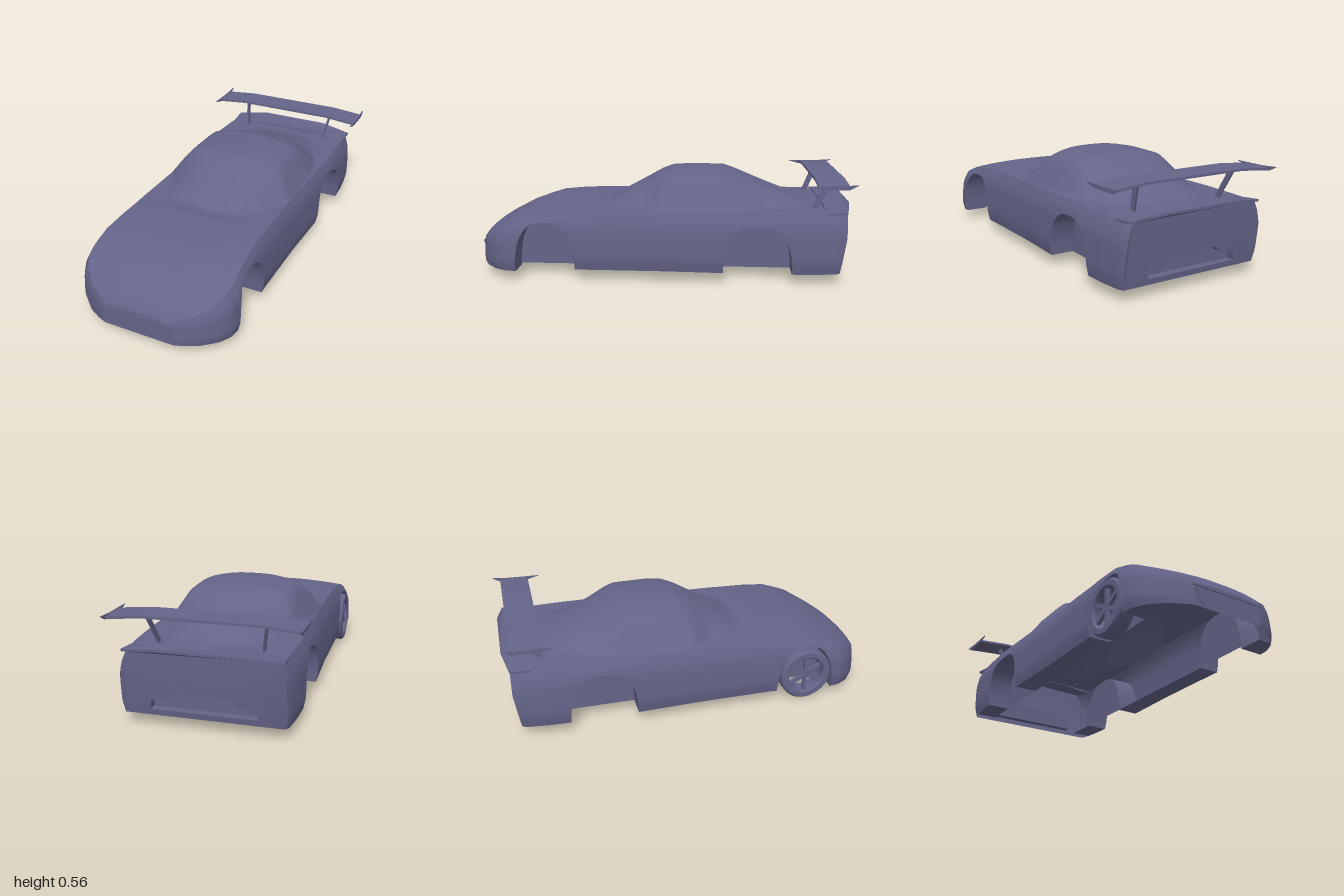
import * as THREE from 'three';
import { toCreasedNormals } from 'three/addons/utils/BufferGeometryUtils.js';

const paint = new THREE.MeshStandardMaterial({ color: 0x646489, side: THREE.DoubleSide });
paint.name = 'slate paint';
const clamp = THREE.MathUtils.clamp;

// Linear lookup in a list of [z, value], sorted by falling z
const look = (list) => (z) => {
  if (z >= list[0][0]) return list[0][1];
  for (let i = 1; i < list.length; i++) {
    const [a, p] = list[i - 1], [b, q] = list[i];
    if (z >= b) return p + (q - p) * (a - z) / (a - b);
  }
  return list[list.length - 1][1];
};

// Body curves along the length: half width, centre height, shoulder height, cabin
const width = look([[0.994, 0.2], [0.98, 0.24], [0.94, 0.32], [0.88, 0.39], [0.82, 0.425], [0.75, 0.435],
  [0.6, 0.425], [0.4, 0.415], [0, 0.415], [-0.3, 0.425], [-0.6, 0.433], [-0.8, 0.425], [-0.93, 0.412], [-0.965, 0.4]]);
const centre = look([[0.994, 0.175], [0.98, 0.212], [0.95, 0.24], [0.9, 0.272], [0.8, 0.322], [0.7, 0.358],
  [0.65, 0.368], [0.5, 0.38], [0.39, 0.388], [0.3, 0.376], [0, 0.375], [-0.7, 0.382], [-0.965, 0.388]]);
const shoulder = look([[0.994, 0.165], [0.98, 0.19], [0.94, 0.215], [0.88, 0.25], [0.8, 0.295], [0.65, 0.35],
  [0.5, 0.365], [0.3, 0.372], [-0.5, 0.378], [-0.965, 0.375]]);
const cabinTop = look([[0.994, 0], [0.3, 0.376], [0.02, 0.533], [-0.04, 0.556], [-0.15, 0.563],
  [-0.33, 0.56], [-0.4, 0.538], [-0.775, 0.386], [-1.1, 0.25]]);
const cabinBase = look([[-0.3, 0.38], [-0.55, 0.335], [-0.75, 0.29]]);
const bulge = look([[1, 0.9], [0.86, 0.95], [0.7, 0.98], [0.5, 0.99], [0.2, 1], [0, 0.97]]);

const FRONT = 0.994, BACK = -0.965;
const arches = [{ c: 0.605, h: 0.157 }, { c: -0.51, h: 0.178 }];
const sill = (z) => (z > 0.76 ? 0.05 : 0.06);
const archY = (t) => 0.06 + 0.25 * Math.pow(Math.max(0, 1 - Math.abs(t) ** 3), 0.45);
function bottom(z) {
  for (const { c, h } of arches) if (Math.abs(z - c) < h) return archY((z - c) / h);
  return sill(z);
}
// The tail tucks forward towards its lower edge
const tuck = (y, z) => z + 0.03 * Math.max(0, (0.25 - y) / 0.19) * clamp((-0.8 - z) / 0.165, 0, 1);

function sideX(y, z) {
  return width(z) * bulge((y - sill(z)) / (shoulder(z) - sill(z)));
}
// Larger of two heights with a rounded join of size k
function softMax(a, b, k) {
  const m = Math.max(k - Math.abs(a - b), 0);
  return Math.max(a, b) + m * m / (4 * k);
}
function topY(x, z) {
  const a = Math.abs(x), u = Math.min(1, a / (width(z) * 0.9));
  const deck = centre(z) - (centre(z) - shoulder(z)) * u ** 2.5;
  // Windscreen and rear window curve round in plan
  const bow = 0.17 * (a / 0.36) ** 3 * clamp((z + 0.15) / 0.25, 0, 1)
    - 0.1 * (a / 0.27) ** 3 * clamp((-0.35 - z) / 0.2, 0, 1);
  const roof = cabinTop(z + bow) - 0.04 * (a / 0.27) ** 2.6 * clamp((cabinTop(z) - 0.35) / 0.15, 0, 1);
  const flank = 0.366 + (cabinBase(z) - a) * 1.42;
  const cabin = -softMax(-roof, -flank, 0.025);
  const k = (z > 0.15 ? 0.006 : 0.024) * (1 - u ** 8) + 0.0001;
  return softMax(deck, cabin, k);
}

// Stations along the body, denser at the wheel arches
const stations = [];
for (let i = 0; i <= 110; i++) stations.push(FRONT + (BACK - FRONT) * i / 110);
for (const { c, h } of arches) for (let i = 0; i <= 24; i++) stations.push(c + h * Math.cos(i * Math.PI / 24));
stations.sort((a, b) => b - a);

function mesh(name, geo, parent) {
  const m = new THREE.Mesh(geo, paint);
  m.name = name;
  parent.add(m);
  return m;
}
// Sheet from a rule giving a point for each grid index
function sheet(nu, nv, rule, crease = 0.6) {
  const pos = [], idx = [];
  for (let i = 0; i <= nu; i++) for (let j = 0; j <= nv; j++) pos.push(...rule(i, j));
  for (let i = 0; i < nu; i++) for (let j = 0; j < nv; j++) {
    const a = i * (nv + 1) + j, b = a + nv + 1;
    idx.push(a, b, a + 1, b, b + 1, a + 1);
  }
  const g = new THREE.BufferGeometry();
  g.setAttribute('position', new THREE.Float32BufferAttribute(pos, 3));
  g.setIndex(idx);
  return toCreasedNormals(g, crease);
}
const shapeOf = (pts) => new THREE.Shape(pts.map(([x, y]) => new THREE.Vector2(x, y)));

// Outline of the body section that closes an end
function endOutline(z) {
  const pts = [], s = shoulder(z), b = sill(z), w = width(z) * 0.9;
  for (let i = 0; i <= 8; i++) { const y = b + (s - b) * i / 8; pts.push([sideX(y, z), y]); }
  for (let i = 1; i < 16; i++) { const x = w * (1 - i / 8); pts.push([x, topY(x, z)]); }
  for (let i = 8; i >= 0; i--) { const y = b + (s - b) * i / 8; pts.push([-sideX(y, z), y]); }
  return pts;
}

function buildWheel() {
  const wheel = new THREE.Group();
  wheel.name = 'frontWheel';
  const tyre = [[0.105, -0.045], [0.135, -0.045], [0.145, -0.034], [0.147, 0], [0.145, 0.034], [0.135, 0.045],
    [0.108, 0.045], [0.1, 0.035], [0.1, -0.04], [0.105, -0.045]].map(([r, y]) => new THREE.Vector2(r, y));
  mesh('tyre', toCreasedNormals(new THREE.LatheGeometry(tyre, 32), 0.6), wheel);
  mesh('hub', new THREE.CylinderGeometry(0.024, 0.028, 0.03, 16), wheel).position.y = 0.02;
  for (let i = 0; i < 6; i++) {
    const spoke = mesh('spoke', new THREE.BoxGeometry(0.09, 0.018, 0.022), wheel);
    const a = i * Math.PI / 3;
    spoke.position.set(0.06 * Math.cos(a), 0.025, 0.06 * Math.sin(a));
    spoke.rotation.y = -a;
  }
  wheel.rotation.z = Math.PI / 2;
  wheel.position.set(-0.382, 0.147, 0.61);
  return wheel;
}

export function createModel() {
  const car = new THREE.Group();
  car.name = 'car';
  const n = stations.length - 1;

  // Bonnet, cabin and rear deck in one skin
  mesh('upperBody', sheet(n, 72, (i, j) => {
    const z = stations[i], x = (j / 36 - 1) * width(z) * 0.9;
    return [x, topY(x, z), z];
  }, 0.8), car);

  for (const s of [1, -1]) {
    // Flank with the wheel arches cut into its lower edge
    mesh('sidePanel', sheet(n, 12, (i, j) => {
      const z = stations[i], b = bottom(z), y = b + (shoulder(z) - b) * j / 12;
      return [s * sideX(y, z), y, tuck(y, z)];
    }), car);
    // Sill flange and arch lining
    const inner = stations.filter((z) => z < 0.9 && z > -0.9);
    mesh('sillAndArchLining', sheet(inner.length - 1, 1, (i, j) => {
      const z = inner[i], y = bottom(z);
      return [s * (j ? 0.29 : sideX(y, z)), y, tuck(y, z)];
    }), car);
    // Inner walls of the wheel wells
    for (const { c, h } of arches) {
      mesh('wheelWellWall', sheet(24, 1, (i, j) => {
        const t = Math.cos(i * Math.PI / 24);
        return [s * 0.29, j ? archY(t) : 0.06, c + h * t];
      }), car);
    }
    // Slanted grille bar
    const bar = mesh('grilleBar', new THREE.BoxGeometry(0.008, 0.1, 0.008), car);
    bar.position.set(s * 0.168, 0.105, FRONT);
    bar.rotation.z = -s * 0.37;
  }

  // Nose face and grille lip
  mesh('noseFace', new THREE.ShapeGeometry(shapeOf(endOutline(FRONT))), car).position.z = FRONT;
  mesh('grilleLip', new THREE.BoxGeometry(0.4, 0.008, 0.01), car).position.set(0, 0.157, FRONT);

  // Tail face with a recess in the bumper
  const recess = [[-0.26, 0.09], [0.26, 0.09], [0.25, 0.14], [0.17, 0.15], [0.12, 0.185],
    [-0.12, 0.185], [-0.17, 0.15], [-0.25, 0.14]];
  const tail = shapeOf(endOutline(BACK));
  tail.holes.push(shapeOf(recess));
  const tailGeo = new THREE.ShapeGeometry(tail), p = tailGeo.attributes.position;
  for (let i = 0; i < p.count; i++) p.setZ(i, tuck(p.getY(i), BACK));
  mesh('tailFace', toCreasedNormals(tailGeo, 0.3), car);
  mesh('recessWall', sheet(8, 1, (i, j) => {
    const [x, y] = recess[i % 8];
    return [x, y, j ? -0.9 : tuck(y, BACK)];
  }), car);
  mesh('recessBack', new THREE.ShapeGeometry(shapeOf(recess)), car).position.z = -0.9;

  // Lip along the rear edge of the deck, rising to the rear and falling to its ends
  const lipGeo = new THREE.ExtrudeGeometry(shapeOf([[-0.38, 0.86], [-0.2, 0.86], [0.2, 0.86], [0.38, 0.86],
    [0.385, 0.965], [0.2, 0.998], [-0.2, 0.998], [-0.385, 0.965]]), { depth: 0.012, bevelEnabled: false });
  lipGeo.rotateX(-Math.PI / 2);
  const lp = lipGeo.attributes.position;
  for (let i = 0; i < lp.count; i++) {
    const drop = Math.abs(lp.getX(i)) > 0.3 ? 0.018 : 0;
    lp.setY(i, lp.getY(i) + 0.381 + 0.09 * (-lp.getZ(i) - 0.86) - drop);
  }
  lipGeo.computeVertexNormals();
  mesh('deckLip', lipGeo, car);

  // Wing blade, end plates and struts
  const blade = mesh('wingBlade', new THREE.ExtrudeGeometry(shapeOf([[-0.46, 0.517], [-0.28, 0.534], [0.28, 0.534],
    [0.46, 0.517], [0.46, 0.53], [0.28, 0.546], [-0.28, 0.546], [-0.46, 0.53]]), { depth: 0.155, bevelEnabled: false }), car);
  blade.position.z = -0.955;
  for (const s of [1, -1]) {
    const plate = new THREE.ExtrudeGeometry(shapeOf([[0.735, 0.532], [0.8, 0.514], [0.95, 0.514], [0.998, 0.54], [0.9, 0.533]]),
      { depth: 0.006, bevelEnabled: false });
    plate.rotateY(Math.PI / 2);
    mesh('wingEndPlate', plate, car).position.x = s * 0.46 - 0.003;
    const strut = new THREE.ExtrudeGeometry(shapeOf([[0.795, 0.375], [0.825, 0.375], [0.9, 0.538], [0.865, 0.538]]),
      { depth: 0.01, bevelEnabled: false });
    strut.rotateY(Math.PI / 2);
    const sp = strut.attributes.position;
    for (let i = 0; i < sp.count; i++) sp.setX(i, sp.getX(i) - 0.005 + s * (0.255 + 0.2 * (sp.getY(i) - 0.375)));
    mesh('wingStrut', strut, car);
  }
  car.add(buildWheel());
  return car;
}
